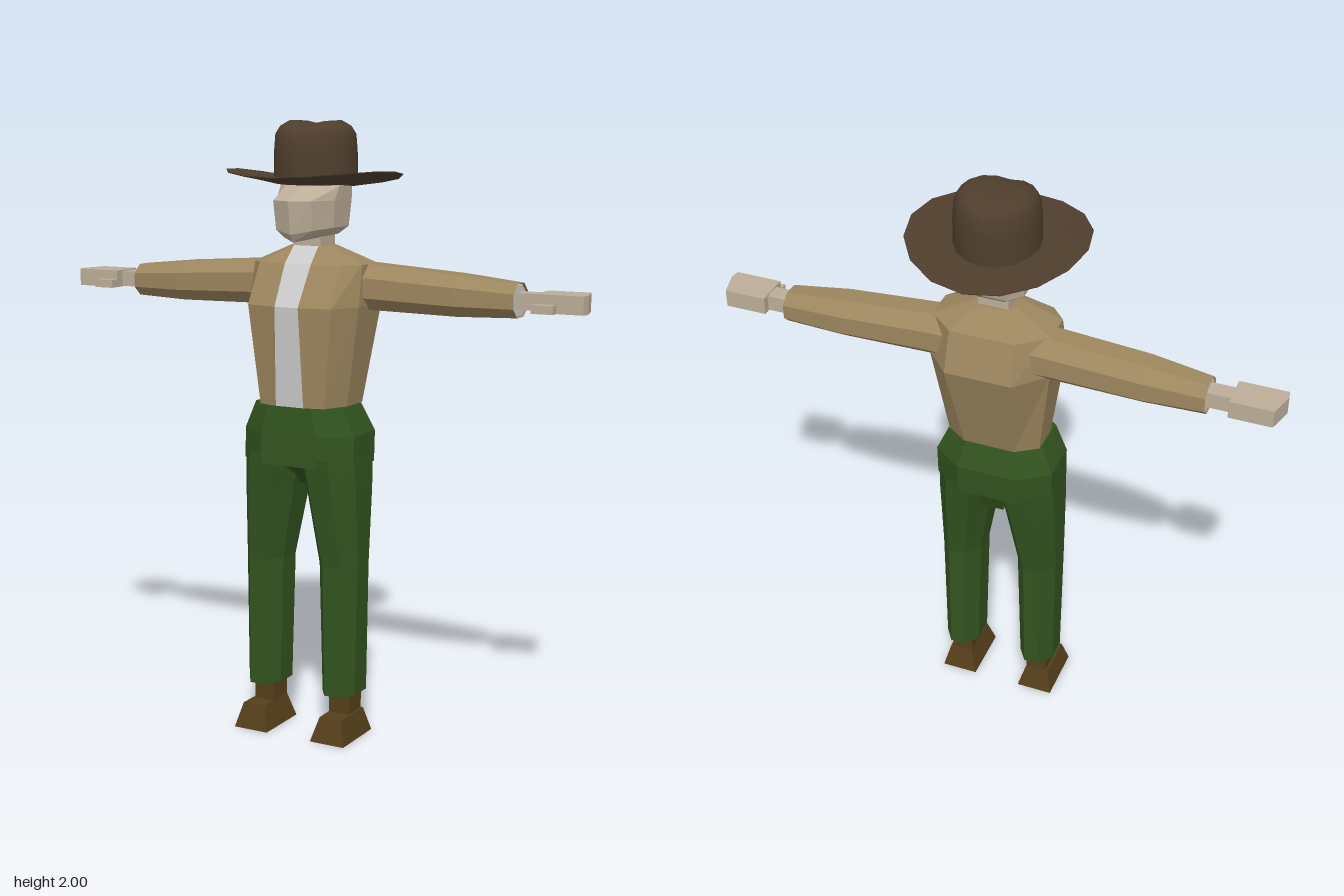
import * as THREE from 'three';

const flat = (color) => new THREE.MeshStandardMaterial({ color, flatShading: true, side: THREE.DoubleSide });
const skin = flat(0xbcad98), cloth = flat(0x9c865e), trousers = flat(0x32531f);
const leather = flat(0x553f1a), grey = flat(0xcccccc);
const felt = new THREE.MeshStandardMaterial({ color: 0x4f3e2d, side: THREE.DoubleSide });

// Skin rings of [x, y, z] points, listed bottom to top, each running front -> +x -> back
function loft(rings, closed = true, caps = true) {
  const n = rings[0].length, index = [];
  for (let r = 0; r < rings.length - 1; r++) {
    for (let i = 0; i < (closed ? n : n - 1); i++) {
      const j = (i + 1) % n, a = r * n + i, b = r * n + j;
      index.push(a, b, b + n, a, b + n, a + n);
    }
  }
  const top = (rings.length - 1) * n;
  if (caps) for (let i = 1; i < n - 1; i++) index.push(0, i + 1, i, top, top + i, top + i + 1);
  const g = new THREE.BufferGeometry();
  g.setAttribute('position', new THREE.Float32BufferAttribute(rings.flat(2), 3));
  g.setIndex(index);
  g.computeVertexNormals();
  return g;
}

// Rectangle with corners cut by the fraction c
function oct(y, x0, x1, z0, z1, c = 0.28) {
  const a = (x1 - x0) * c, b = (z1 - z0) * c;
  return [[x0 + a, z1], [x1 - a, z1], [x1, z1 - b], [x1, z0 + b],
    [x1 - a, z0], [x0 + a, z0], [x0, z0 + b], [x0, z1 - b]].map(([x, z]) => [x, y, z]);
}

function box(x0, x1, y0, y1, z0, z1) {
  return new THREE.BoxGeometry(x1 - x0, y1 - y0, z1 - z0)
    .translate((x0 + x1) / 2, (y0 + y1) / 2, (z0 + z1) / 2);
}

function add(parent, name, geometry, material) {
  const mesh = new THREE.Mesh(geometry, material);
  mesh.name = name;
  parent.add(mesh);
}

function addTorso(g) {
  // height, half width, half shirt width, front z, back z
  const rows = [[1.1, 0.155, 0.05, 0.165, -0.085], [1.42, 0.2, 0.042, 0.185, -0.18],
    [1.55, 0.195, 0.047, 0.11, -0.14], [1.605, 0.07, 0.045, 0.055, -0.055]];
  const jacket = rows.map(([y, w, s, f, b]) => {
    const half = [[s, f], [w * 0.75, f * 0.9], [w, f * 0.4], [w, b * 0.45], [w * 0.55, b]];
    return [...half, ...half.map(([x, z]) => [-x, z]).reverse()].map(([x, z]) => [x, y, z]);
  });
  add(g, 'jacket', loft(jacket, false), cloth);
  add(g, 'shirtFront', loft(rows.map(([y, , s, f]) => [[-s, y, f], [s, y, f]]), false, false), grey);
}

function addHead(g) {
  add(g, 'neck', box(-0.05, 0.05, 1.56, 1.66, -0.045, 0.05), skin);
  // height, half width, front z, back z, chin drop
  const rows = [[1.64, 0.07, 0.14, -0.06, 0.02], [1.665, 0.1, 0.158, -0.09, 0.02],
    [1.75, 0.105, 0.17, -0.11, 0], [1.795, 0.107, 0.085, -0.11, 0], [1.84, 0.1, 0.08, -0.1, 0]];
  const rings = rows.map(([y, w, f, b, d]) => {
    const half = [[w * 0.65, y - d * 0.35, f - 0.025], [w, y, f * 0.35], [w, y, b * 0.5], [w * 0.6, y, b]];
    return [[0, y - d, f], ...half, ...half.map(([x, h, z]) => [-x, h, z]).reverse()];
  });
  add(g, 'head', loft(rings), skin);
}

function addHat(g) {
  const hat = new THREE.Group();
  hat.name = 'hat';
  g.add(hat);
  const lathe = (pts) => new THREE.LatheGeometry(pts.map(([r, y]) => new THREE.Vector2(r, y)), 16);

  // Brim, curled up at both sides and tipped down at the back
  const brim = lathe([[0, 1.79], [0.12, 1.79], [0.282, 1.806], [0.284, 1.809], [0.13, 1.812], [0, 1.812]]);
  const p = brim.attributes.position;
  for (let i = 0; i < p.count; i++) {
    const x = p.getX(i), z = p.getZ(i);
    p.setY(i, p.getY(i) + 0.065 * z + 0.032 * (x / 0.28) ** 2);
  }
  brim.computeVertexNormals();
  add(hat, 'brim', brim, felt);

  // Crown, pinched along the middle of its top
  const crown = lathe([[0.135, 1.8], [0.134, 1.9], [0.13, 1.955], [0.115, 1.98],
    [0.085, 1.998], [0.04, 2.0], [0, 2.0]]);
  const q = crown.attributes.position;
  for (let i = 0; i < q.count; i++) {
    const x = q.getX(i), y = q.getY(i), z = q.getZ(i);
    const high = THREE.MathUtils.clamp((y - 1.94) / 0.05, 0, 1);
    const dent = 0.018 * Math.exp(-((x / 0.045) ** 2)) * high;
    q.setXYZ(i, x, y - dent, z * (1 - 0.06 * high) - 0.008);
  }
  crown.computeVertexNormals();
  add(hat, 'crown', crown, felt);
}

function addArm(g) {
  // Sleeve built upright, then laid along +x: [x, bottom, top, back, front]
  const rings = [[0.1, 1.4, 1.555, -0.12, 0.05], [0.2, 1.405, 1.55, -0.12, 0.045],
    [0.5, 1.4, 1.53, -0.12, 0.04], [0.695, 1.405, 1.51, -0.105, 0.012]]
    .map(([x, lo, hi, z0, z1]) => oct(x, -hi, -lo, z0, z1));
  add(g, 'sleeve', loft(rings, true, false).rotateZ(-Math.PI / 2), cloth);
  const cuff = [0.68, 0.69].map((x) => oct(x, -1.505, -1.41, -0.1, 0.008));
  add(g, 'cuffLining', loft(cuff).rotateZ(-Math.PI / 2), grey);

  add(g, 'wrist', box(0.68, 0.77, 1.432, 1.483, -0.075, -0.015), skin);
  const outline = [[0.765, 0.015], [0.92, 0.015], [0.925, -0.015], [0.902, -0.1], [0.765, -0.1]];
  add(g, 'hand', loft([1.43, 1.487].map((y) => outline.map(([x, z]) => [x, y, z]))), skin);
  add(g, 'thumb', box(0.765, 0.835, 1.43, 1.457, 0.01, 0.045), skin);
}

function addLeg(g) {
  const rings = [oct(0.15, 0.08, 0.2, -0.04, 0.14), oct(0.58, 0.068, 0.205, -0.045, 0.14),
    oct(0.83, 0.024, 0.204, -0.09, 0.168), oct(0.94, 0, 0.2, -0.108, 0.178)];
  add(g, 'trouserLeg', loft(rings, true, false), trousers);
  add(g, 'hemLining', loft([0.155, 0.165].map((y) => oct(y, 0.085, 0.195, -0.035, 0.135))), grey);
  add(g, 'ankle', box(0.105, 0.178, 0.06, 0.2, 0.005, 0.09), leather);
  add(g, 'foot', loft([oct(0, 0.082, 0.205, -0.02, 0.18, 0),
    oct(0.08, 0.105, 0.185, 0.003, 0.155, 0)]), leather);
}

export function createModel() {
  const model = new THREE.Group();
  model.name = 'figure';
  addTorso(model);
  addHead(model);
  addHat(model);

  // Hips and crotch
  add(model, 'hips', loft([oct(0.91, -0.2, 0.2, -0.11, 0.18, 0.25), oct(1.01, -0.2, 0.2, -0.115, 0.175, 0.25),
    oct(1.1, -0.16, 0.16, -0.085, 0.166, 0.25)]), trousers);
  add(model, 'crotch', loft([oct(0.83, -0.04, 0.04, -0.06, 0.05, 0),
    oct(0.92, -0.04, 0.04, -0.1, 0.16, 0)]), trousers);

  // Limbs, mirrored across x
  for (const [side, sign] of [['left', 1], ['right', -1]]) {
    const arm = new THREE.Group(), leg = new THREE.Group();
    arm.name = side + 'Arm';
    leg.name = side + 'Leg';
    addArm(arm);
    addLeg(leg);
    arm.scale.x = leg.scale.x = sign;
    model.add(arm, leg);
  }
  return model;
}
